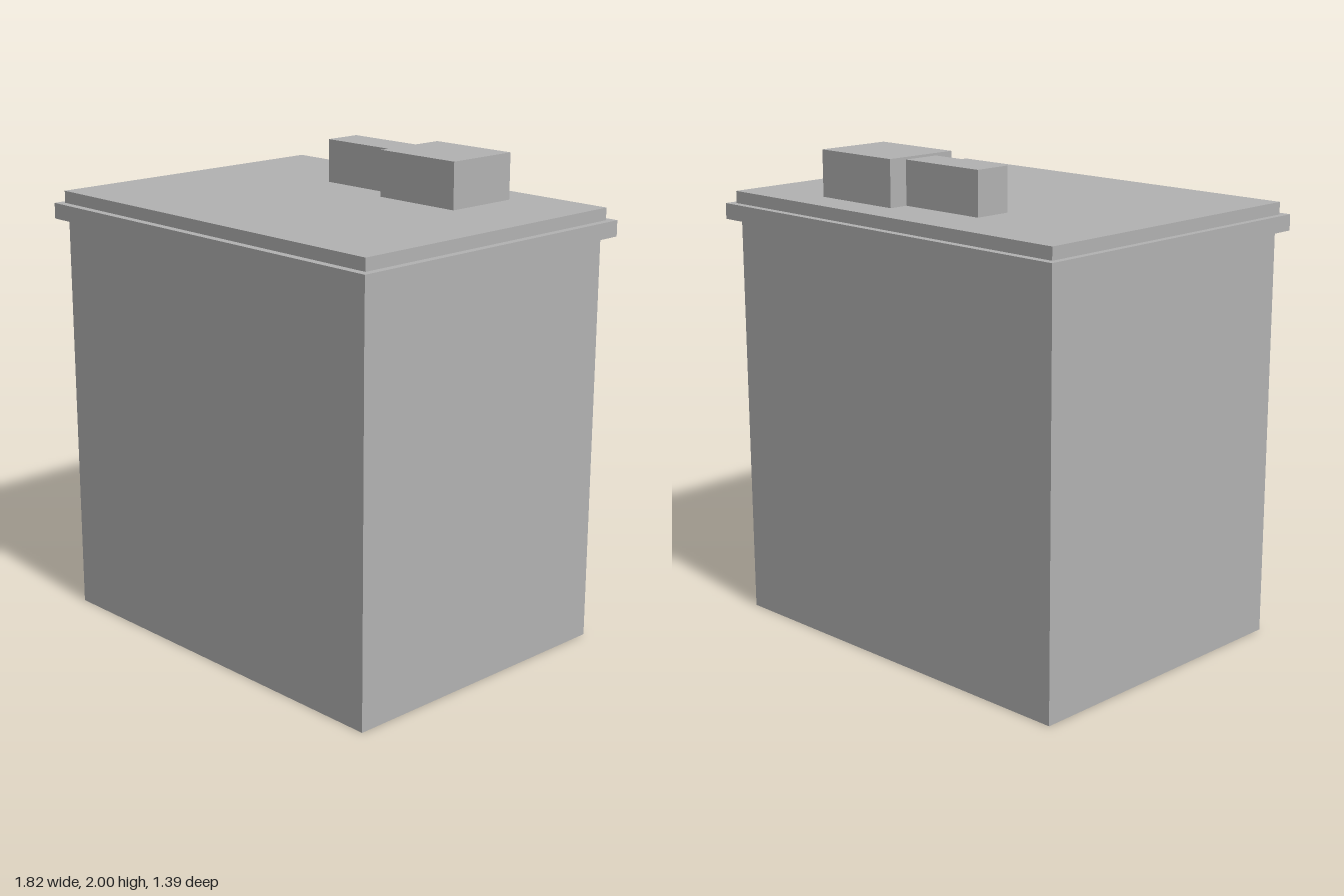
import * as THREE from 'three';

export function createModel() {
  const model = new THREE.Group();
  const grey = new THREE.MeshStandardMaterial({ color: 0xb2b2b2, side: THREE.DoubleSide });
  grey.name = 'plain grey';

  // Box given by its min and max on each axis
  function box(name, [x0, x1], [y0, y1], [z0, z1]) {
    const geometry = new THREE.BoxGeometry(x1 - x0, y1 - y0, z1 - z0);
    const mesh = new THREE.Mesh(geometry, grey);
    mesh.position.set((x0 + x1) / 2, (y0 + y1) / 2, (z0 + z1) / 2);
    mesh.name = name;
    model.add(mesh);
    return mesh;
  }

  // Thin-walled body, open at the bottom: keep only the four side faces
  const body = box('bodyWalls', [-0.867, 0.865], [0, 1.695], [-0.648, 0.651]);
  const index = Array.from(body.geometry.index.array);
  body.geometry.setIndex([...index.slice(0, 12), ...index.slice(24)]);
  body.geometry.clearGroups();

  // Stepped roof
  box('roofRim', [-0.908, 0.908], [1.695, 1.76], [-0.695, 0.692]);
  box('roofSlab', [-0.88, 0.877], [1.76, 1.81], [-0.663, 0.659]);

  // Rooftop unit and its duct
  box('rooftopUnit', [0.107, 0.505], [1.81, 2], [-0.513, -0.185]);
  box('rooftopDuct', [-0.286, 0.107], [1.81, 1.99], [-0.43, -0.27]);

  return model;
}
